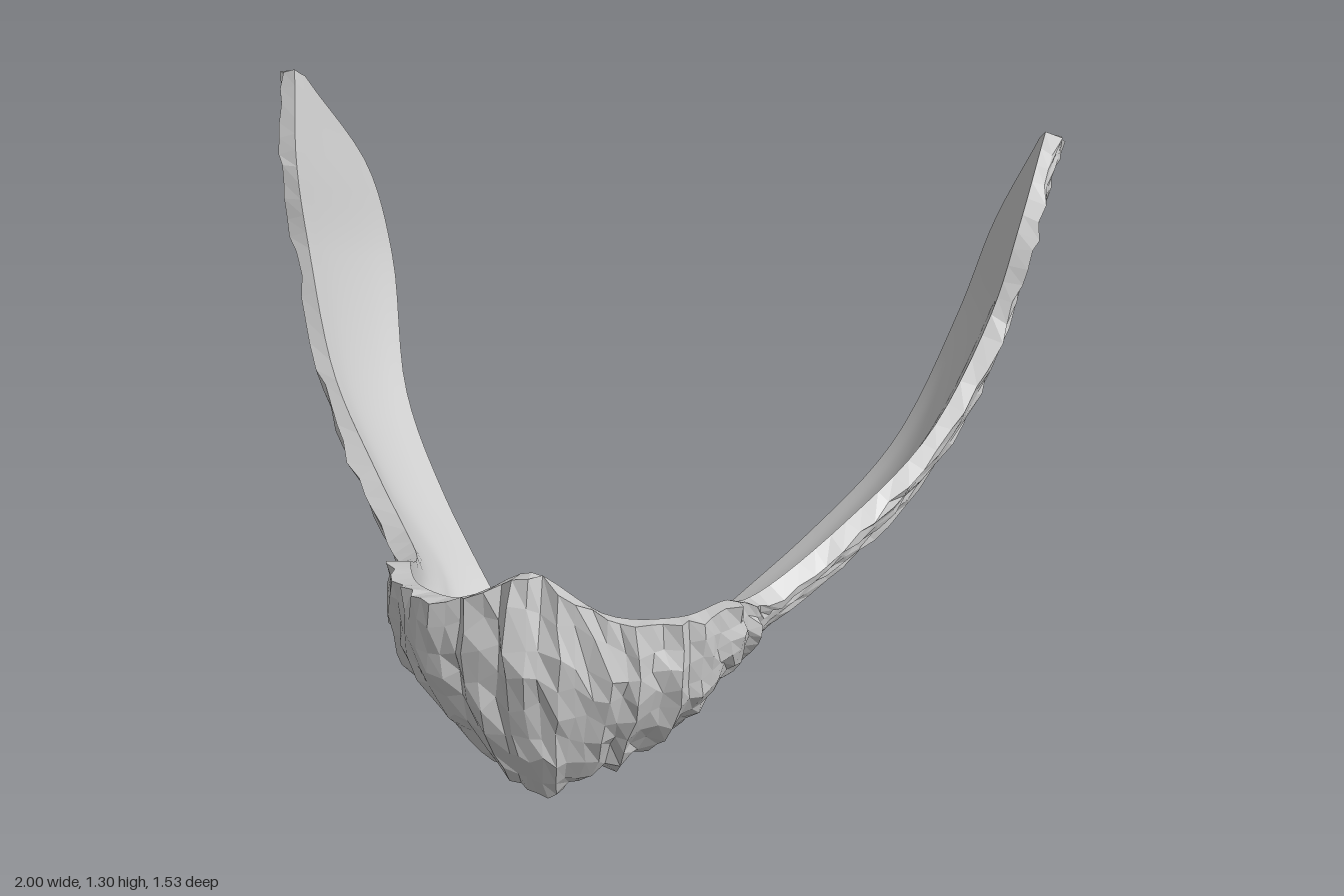
import * as THREE from 'three';

const V = (p) => new THREE.Vector3(...p);
const U_STEPS = 100, V_STEPS = 15, THICKNESS = 0.045;

// Left half rails, from strap tip to chin centre
const upperEdge = [[0.995, 1.275, -0.585], [0.96, 1.08, -0.465], [0.91, 0.86, -0.39], [0.79, 0.6, -0.2], [0.62, 0.44, 0],
  [0.46, 0.345, 0.2], [0.42, 0.44, 0.38], [0.34, 0.475, 0.55], [0.19, 0.52, 0.66], [0, 0.63, 0.7]].map(V);
const lowerEdge = [[0.98, 1.25, -0.62], [0.865, 0.95, -0.765], [0.795, 0.715, -0.73], [0.675, 0.455, -0.46], [0.505, 0.295, -0.22],
  [0.33, 0.175, -0.02], [0.22, 0.13, 0.06], [0.14, 0.11, 0.09], [0.07, 0.1, 0.1], [0, 0.1, 0.1]].map(V);
// Belly, keel and floor rails of the chin cup (last five stations)
const belly = [[0.44, 0.28, 0.16], [0.42, 0.29, 0.36], [0.345, 0.31, 0.54], [0.2, 0.35, 0.675], [0, 0.38, 0.75]].map(V);
const keel = [[0.41, 0.22, 0.1], [0.32, 0.145, 0.27], [0.23, 0.08, 0.43], [0.12, 0.04, 0.55], [0, 0.015, 0.63]].map(V);
const floor = [[0.37, 0.19, 0.04], [0.27, 0.125, 0.16], [0.18, 0.085, 0.25], [0.1, 0.06, 0.32], [0, 0.05, 0.36]].map(V);

// The strap is a slightly bowed band, so its middle rails lie between the edges
const bow = new THREE.Vector3(0.6, -0.6, 0.4);
function withStrap(cup, t) {
  return upperEdge.map((p, i) => (i < 5
    ? p.clone().lerp(lowerEdge[i], t).addScaledVector(bow, 0.035 * i * t * (1 - t))
    : cup[i - 5]));
}

// Mirror a half rail into one curve from tip to tip
function rail(half) {
  const mirrored = half.slice(0, -1).reverse().map((p) => new THREE.Vector3(-p.x, p.y, p.z));
  return new THREE.CatmullRomCurve3([...half, ...mirrored]);
}

// Seeded value from -1 to 1
function noise(i, j) {
  const n = Math.sin(i * 127.1 + j * 311.7 + 4.3) * 43758.5453;
  return 2 * (n - Math.floor(n)) - 1;
}

// Triangles between neighbouring rows of points
function surface(rows, name, flip, flatShading) {
  const cols = rows[0].length, index = [];
  for (let i = 0; i < rows.length - 1; i++) {
    for (let j = 0; j < cols - 1; j++) {
      const a = i * cols + j, b = a + cols, c = a + 1, d = b + 1;
      if (flip) index.push(a, c, b, b, c, d);
      else index.push(a, b, c, b, d, c);
    }
  }
  const geometry = new THREE.BufferGeometry().setFromPoints(rows.flat());
  geometry.setIndex(index);
  geometry.computeVertexNormals();
  const material = new THREE.MeshStandardMaterial({ color: 0xcccccc, flatShading, side: THREE.DoubleSide });
  const mesh = new THREE.Mesh(geometry, material);
  mesh.name = name;
  return mesh;
}

export function createModel() {
  const group = new THREE.Group();
  group.name = 'beardShell';
  const rails = [upperEdge, withStrap(belly, 0.25), withStrap(keel, 0.5), withStrap(floor, 0.75), lowerEdge].map(rail);

  // Smooth base surface
  const base = [];
  for (let i = 0; i <= U_STEPS; i++) {
    const section = new THREE.CatmullRomCurve3(rails.map((r) => r.getPoint(i / U_STEPS)));
    base.push(section.getSpacedPoints(V_STEPS));
  }

  // Rough outer skin and smooth inner skin, offset along the normals
  const { smoothstep } = THREE.MathUtils;
  const outer = [], inner = [];
  for (let i = 0; i <= U_STEPS; i++) {
    outer.push([]);
    inner.push([]);
    const s = Math.abs(i / U_STEPS - 0.5) * 2;
    const cup = 1 - smoothstep(s, 0.35, 0.5);
    for (let j = 0; j <= V_STEPS; j++) {
      const du = base[Math.min(i + 1, U_STEPS)][j].clone().sub(base[Math.max(i - 1, 0)][j]);
      const dv = base[i][Math.min(j + 1, V_STEPS)].clone().sub(base[i][Math.max(j - 1, 0)]);
      const normal = du.clone().cross(dv).normalize();
      const v = j / V_STEPS;
      // Locks of hair run down the cup and fade under it, clumps cover the strap
      const locks = cup * (1 - smoothstep(v, 0.5, 0.9)) * (0.009 * noise(i, 50) + 0.006 * Math.sin(i * 1.9 + j * 0.25));
      const clumps = 0.008 * noise(i, j) + 0.008 * noise(Math.floor(i / 2), Math.floor(j / 2) + 90);
      // The strap is thickest along its middle
      const padding = 0.014 * (1 - cup) * (1 - smoothstep(s, 0.7, 1)) * Math.sin(Math.PI * v);
      const p = base[i][j].clone().addScaledVector(normal, locks + clumps + padding);
      p.addScaledVector(du, 0.1 * noise(j, i + 33)).addScaledVector(dv, 0.12 * noise(j + 70, i));
      outer[i].push(p);
      // The shell thins out under the chin
      const depth = THICKNESS * (1 - 0.5 * cup * smoothstep(v, 0.45, 0.65));
      inner[i].push(base[i][j].clone().addScaledVector(normal, -depth));
    }
  }

  group.add(surface(outer, 'outerBeard', false, true));
  group.add(surface(inner, 'innerLining', true, false));

  // Rims closing the shell along both edges and at the strap tips
  const edge = (rows, j) => rows.map((row) => row[j]);
  group.add(surface([edge(outer, 0), edge(inner, 0)], 'upperRim', true, true));
  group.add(surface([edge(outer, V_STEPS), edge(inner, V_STEPS)], 'lowerRim', false, true));
  group.add(surface([outer[0], inner[0]], 'leftStrapTip', true, true));
  group.add(surface([outer[U_STEPS], inner[U_STEPS]], 'rightStrapTip', false, true));

  // Rest on the ground, centred
  const box = new THREE.Box3().setFromObject(group);
  const centre = box.getCenter(new THREE.Vector3());
  group.position.set(-centre.x, -box.min.y, -centre.z);
  return group;
}
